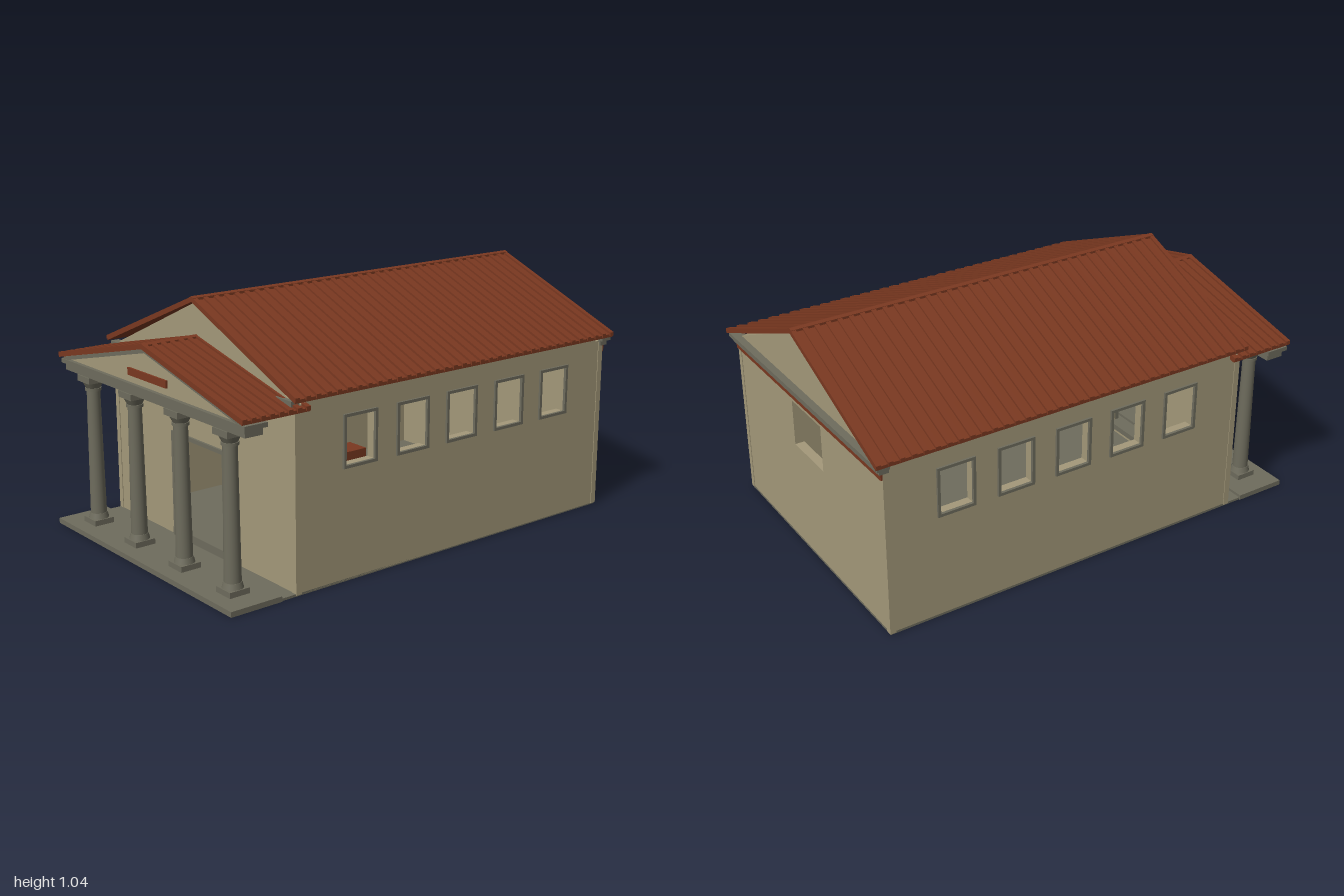
import * as THREE from 'three';

const mat = (name, color) => {
  const m = new THREE.MeshStandardMaterial({ color });
  m.name = name;
  return m;
};

export function createModel() {
  const model = new THREE.Group();
  model.name = 'temple';
  const plaster = mat('plaster', 0xa4997a);
  const stone = mat('stone', 0x6e6c5d);
  const terracotta = mat('terracotta', 0x7a3820);

  const add = (name, geo, material, parent = model) => {
    const mesh = new THREE.Mesh(geo, material);
    mesh.name = name;
    parent.add(mesh);
    return mesh;
  };
  // Box given by its limits on each axis
  const box = (name, x0, x1, y0, y1, z0, z1, material, parent) => {
    const mesh = add(name, new THREE.BoxGeometry(x1 - x0, y1 - y0, z1 - z0), material, parent);
    mesh.position.set((x0 + x1) / 2, (y0 + y1) / 2, (z0 + z1) / 2);
    return mesh;
  };
  const rect = (x0, x1, y0, y1) =>
    [[x0, y0], [x1, y0], [x1, y1], [x0, y1]].map(p => new THREE.Vector2(...p));
  // Outline with holes, extruded from z0 to z1
  const plate = (points, holes, z0, z1) => {
    const shape = new THREE.Shape(points.map(p => (p.isVector2 ? p : new THREE.Vector2(...p))));
    holes.forEach(h => shape.holes.push(new THREE.Path(h)));
    return new THREE.ExtrudeGeometry(shape, { depth: z1 - z0, bevelEnabled: false }).translate(0, 0, z0);
  };
  // Inverted V section running along z
  const chevron = (name, half, apex, eave, thick, z0, z1, material, parent) =>
    add(name, plate([[-half, eave], [-half, eave - thick], [0, apex - thick],
      [half, eave - thick], [half, eave], [0, apex]], [], z0, z1), material, parent);

  // Floor and porch platform
  box('floor', -0.63, 0.63, 0, 0.01, -0.96, 0.78, stone);
  box('porchPlatform', -0.635, 0.635, 0, 0.022, 0.77, 1.0, stone);

  // Gabled end walls
  const gable = [[-0.63, 0.005], [0.63, 0.005], [0.63, 0.74], [0, 1.02], [-0.63, 0.74]];
  add('frontWall', plate(gable, [rect(-0.17, 0.17, 0.02, 0.445)], 0.66, 0.7), plaster);
  add('backWall', plate(gable, [rect(-0.125, 0.125, 0.465, 0.665)], -0.96, -0.92), plaster);

  // Side walls with five windows each, framed outside
  const windows = [0.395, 0.13, -0.13, -0.395, -0.66];
  const opening = (z, inset) => rect(z - 0.083 + inset, z + 0.083 - inset, 0.455 + inset, 0.667 - inset);
  for (const s of [1, -1]) {
    const wall = add('sideWall', plate(rect(-0.92, 0.66, 0.005, 0.75), windows.map(z => opening(z, 0.011)), 0, 0.04)
      .rotateY(-Math.PI / 2), plaster);
    wall.position.x = s > 0 ? 0.63 : -0.59;
    windows.forEach(z => {
      const frame = add('windowFrame', plate(opening(z, 0), [opening(z, 0.012)], 0, 0.012)
        .rotateY(-Math.PI / 2), stone);
      frame.position.x = s > 0 ? 0.639 : -0.627;
    });
    // Corner strips
    for (const z of [0.69, -0.95]) {
      const c = box('cornerStrip', -0.013, 0.013, 0.005, 0.735, z - 0.013, z + 0.013, plaster);
      c.position.x = s * 0.62;
    }
    // Low benches inside
    const bench = box('bench', -0.06, 0.06, 0.01, 0.1, -0.5, 0.19, terracotta);
    bench.position.x = s * 0.45;
  }

  // Doorway
  const door = new THREE.Group();
  door.name = 'doorway';
  model.add(door);
  box('threshold', -0.19, 0.19, 0.01, 0.045, 0.66, 0.712, stone, door);
  box('lintel', -0.19, 0.19, 0.443, 0.46, 0.69, 0.71, stone, door);
  for (const s of [-1, 1]) {
    box('jamb', s * 0.18 - 0.01, s * 0.18 + 0.01, 0.045, 0.443, 0.69, 0.71, stone, door);
  }

  // Cornices at the gable feet
  box('frontCornice', -0.63, 0.63, 0.735, 0.757, 0.68, 0.718, stone);
  box('backCorniceLower', -0.64, 0.64, 0.72, 0.74, -0.98, -0.94, stone);
  box('backCorniceUpper', -0.65, 0.65, 0.74, 0.757, -0.992, -0.94, stone);
  box('backBand', -0.632, 0.632, 0.69, 0.718, -0.97, -0.95, terracotta);

  // Columns
  const cyl = (name, rTop, rBottom, y0, y1, parent) => {
    add(name, new THREE.CylinderGeometry(rTop, rBottom, y1 - y0, 20), stone, parent).position.y = (y0 + y1) / 2;
  };
  for (const x of [-0.49, -0.165, 0.165, 0.49]) {
    const column = new THREE.Group();
    column.name = 'column';
    column.position.set(x, 0, 0.89);
    model.add(column);
    box('plinth', -0.045, 0.045, 0.02, 0.045, -0.045, 0.045, stone, column);
    cyl('base', 0.036, 0.042, 0.045, 0.068, column);
    cyl('shaft', 0.028, 0.034, 0.068, 0.6, column);
    cyl('neckRing', 0.034, 0.034, 0.598, 0.61, column);
    cyl('capital', 0.044, 0.03, 0.61, 0.636, column);
    box('abacus', -0.047, 0.047, 0.636, 0.662, -0.045, 0.045, stone, column);
  }

  // Entablature and porch pediment
  box('architrave', -0.64, 0.64, 0.662, 0.692, 0.85, 0.93, stone);
  box('porchCornice', -0.655, 0.655, 0.692, 0.71, 0.84, 0.942, stone);
  add('porchPediment', plate([[-0.62, 0.708], [0.62, 0.708], [0, 0.857]], [], 0.855, 0.925), plaster);
  chevron('rakingCornice', 0.635, 0.868, 0.719, 0.016, 0.845, 0.94, stone);
  box('plaque', -0.137, 0.137, 0.74, 0.77, 0.92, 0.934, terracotta);

  // Tiled roofs: thin slab, raised cover tiles and a ridge cap
  const roof = (name, apex, eave, z0, z1, count) => {
    const g = new THREE.Group();
    g.name = name;
    model.add(g);
    chevron('roofSlab', 0.655, apex - 0.01, eave - 0.008, 0.013, z0, z1, terracotta, g);
    const step = (z1 - z0 - 0.02) / (count - 1);
    for (let i = 0; i < count; i++) {
      const z = z0 + i * step;
      chevron('coverTiles', 0.66, apex - 0.002, eave, 0.016, z, z + 0.02, terracotta, g);
    }
    chevron('ridgeCap', 0.014, apex, apex - 0.006, 0.012, z0, z1, terracotta, g);
  };
  roof('mainRoof', 1.045, 0.775, -1.0, 0.72, 36);
  roof('porchRoof', 0.892, 0.737, 0.65, 0.952, 8);

  return model;
}
